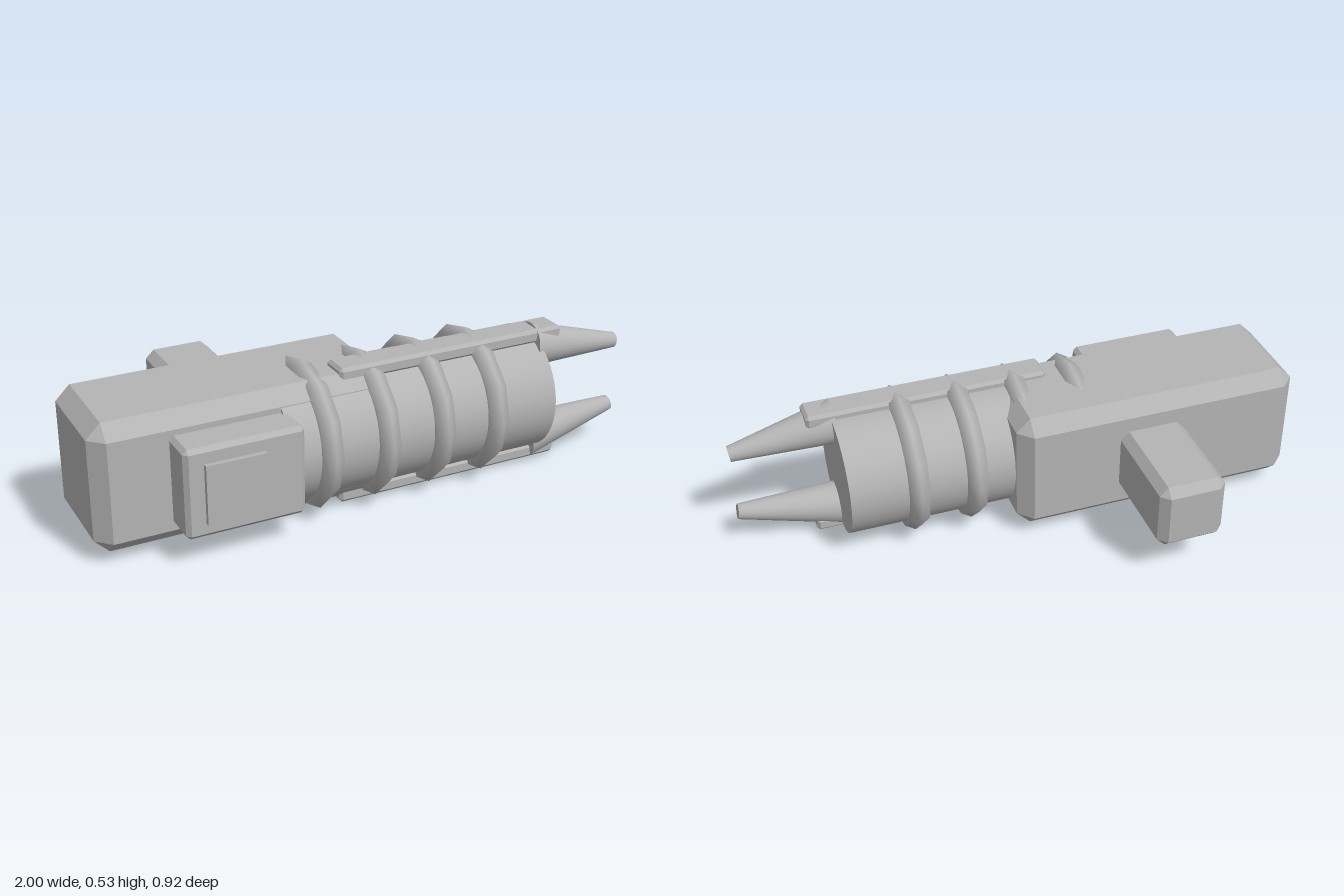
import * as THREE from 'three';
import { ConvexGeometry } from 'three/addons/geometries/ConvexGeometry.js';

const AXIS_Y = 0.267;
const AXIS_Z = 0.183;

// Box between two corners with every edge cut by c
function chamferBox(min, max, c) {
  const points = [];
  for (const i of [0, 1]) for (const j of [0, 1]) for (const k of [0, 1]) {
    const side = [i, j, k];
    for (let full = 0; full < 3; full++) {
      const p = side.map((s, a) => {
        const inset = a === full ? 0 : c;
        return s ? max[a] - inset : min[a] + inset;
      });
      points.push(new THREE.Vector3(...p));
    }
  }
  return new ConvexGeometry(points);
}

export function createModel() {
  const model = new THREE.Group();
  model.name = 'armCannon';
  const grey = new THREE.MeshStandardMaterial({ color: 0xb4b4b4 });
  grey.name = 'grey';

  function add(name, geometry) {
    const mesh = new THREE.Mesh(geometry, grey);
    mesh.name = name;
    model.add(mesh);
    return mesh;
  }

  // Housing, rear grip and side panel
  add('housing', chamferBox([-1, 0.042, -0.097], [0.05, 0.495, 0.32], 0.05));
  add('grip', chamferBox([-0.56, 0.145, -0.463], [-0.32, 0.39, -0.05], 0.03));
  add('sidePanel', chamferBox([-0.75, 0.112, 0.28], [-0.34, 0.425, 0.443], 0.015));
  add('panelPlate', new THREE.BoxGeometry(0.205, 0.207, 0.04))
    .position.set(-0.583, 0.267, 0.44);

  // Barrel along x
  const barrel = add('barrel', new THREE.CylinderGeometry(0.222, 0.222, 1.01, 48));
  barrel.rotation.z = -Math.PI / 2;
  barrel.position.set(0.135, AXIS_Y, AXIS_Z);

  // Coarse twelve-sided rings round the barrel
  for (const x of [-0.23, -0.02, 0.19, 0.4]) {
    const ring = add('barrelRing', new THREE.TorusGeometry(0.222, 0.041, 6, 12));
    ring.rotation.y = Math.PI / 2;
    ring.position.set(x, AXIS_Y, AXIS_Z);
  }

  // Upper and lower rails, each ending in a prong that leans inward
  const from = new THREE.Vector2(0.62, 0.178);
  const to = new THREE.Vector2(0.994, 0.126);
  const lean = Math.atan2(from.y - to.y, to.x - from.x);
  for (const s of [1, -1]) {
    const mid = AXIS_Y + s * 0.223;
    add(s > 0 ? 'upperRail' : 'lowerRail',
      chamferBox([-0.14, mid - 0.025, 0.179], [0.728, mid + 0.025, 0.287], 0.011));
    const prong = add(s > 0 ? 'upperProng' : 'lowerProng',
      new THREE.CylinderGeometry(0.028, 0.08, from.distanceTo(to), 32));
    prong.rotation.z = -Math.PI / 2 - s * lean;
    prong.position.set((from.x + to.x) / 2, AXIS_Y + s * (from.y + to.y) / 2, 0.237);
  }

  return model;
}
